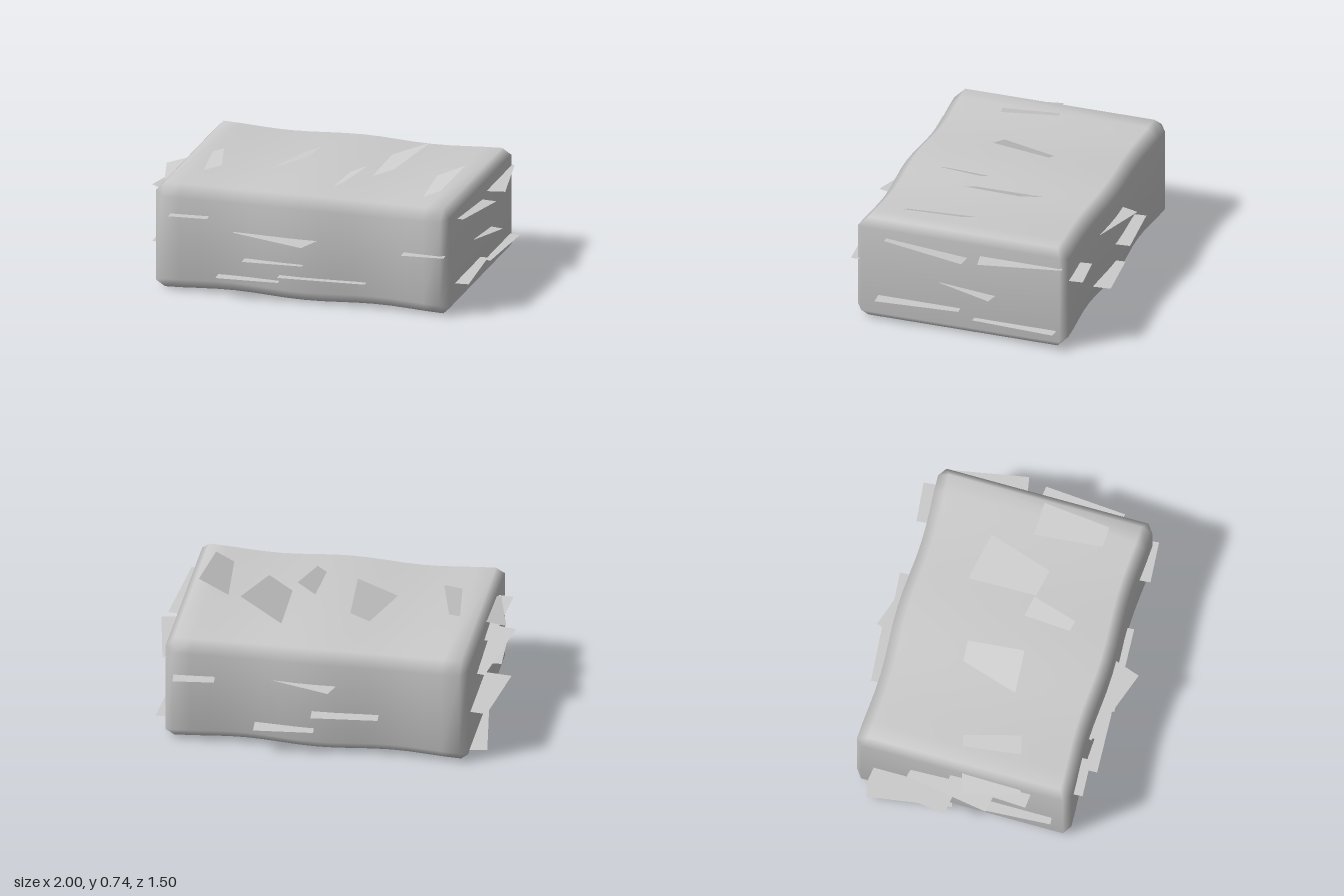
import * as THREE from 'three';
import { mergeVertices } from 'three/addons/utils/BufferGeometryUtils.js';

const material = new THREE.MeshStandardMaterial({ color: 0xcccccc, side: THREE.DoubleSide });

// Eight points around the bale at x: bottom front, up, over the top, down the back.
function ring(x, isEnd) {
  const s = 0.984 + 0.016 * Math.cos((x - 0.025) * Math.PI * 2 / 0.86); // gentle waist wave
  const hz = isEnd ? 0.595 : 0.6325 * s;
  const hy = isEnd ? 0.2675 : 0.3125 * s;
  const c = isEnd ? 0 : 0.065;
  const quarter = [[hz - c, -hy], [hz, -hy + c], [hz, hy - c], [hz - c, hy]];
  const back = quarter.map(([z, y]) => [-z, y]).reverse();
  return [...quarter, ...back].map(([z, y]) => new THREE.Vector3(x, 0.3125 + y, z - 0.0275));
}

// Softly shaded, chamfered bale body, open underneath.
function createBale() {
  const rings = [ring(-0.845, true)];
  const steps = 16;
  for (let i = 0; i <= steps; i++) rings.push(ring(-0.8 + 1.65 * i / steps, false));
  rings.push(ring(0.895, true));

  const points = [];
  const tri = (a, b, c) => {
    if (a.distanceTo(b) > 1e-5 && b.distanceTo(c) > 1e-5 && c.distanceTo(a) > 1e-5) points.push(a, b, c);
  };
  const quad = (a, b, c, d) => { tri(a, b, c); tri(a, c, d); };

  const last = rings.length - 1;
  for (let i = 0; i < last; i++) {
    const p = rings[i], q = rings[i + 1];
    for (let j = 0; j < 8; j++) {
      const k = (j + 1) % 8;
      const underside = j === 7 && i > 0 && i < last - 1;
      if (!underside) quad(p[j], q[j], q[k], p[k]);
    }
  }
  const l = rings[0], r = rings[last];
  quad(r[0], r[6], r[4], r[2]);
  quad(l[0], l[2], l[4], l[6]);

  // Shared vertices weight the normals by area, so only the chamfers blend.
  const geometry = mergeVertices(new THREE.BufferGeometry().setFromPoints(points));
  geometry.computeVertexNormals();
  return new THREE.Mesh(geometry, material);
}

// Flat straw flake: outer edge a to b, running inward by depth and falling by drop.
function createFlake([a, b, depth, drop = 0]) {
  const start = new THREE.Vector3(...a), end = new THREE.Vector3(...b);
  const inward = new THREE.Vector3(start.z - end.z, 0, end.x - start.x).setLength(depth);
  inward.y = -drop;
  const c = end.clone().add(inward), d = start.clone().add(inward);
  const geometry = new THREE.BufferGeometry().setFromPoints([start, d, c, start, c, end]);
  geometry.computeVertexNormals();
  return new THREE.Mesh(geometry, material);
}

const flakes = {
  topFlake: [
    [[-0.64, 0.64, -0.08], [-0.555, 0.65, 0.24], 0.325, 0.09],
    [[-0.095, 0.665, -0.21], [-0.08, 0.71, 0.12], 0.34, 0.14],
    [[0.53, 0.735, -0.25], [0.43, 0.685, 0.12], 0.34, 0.155],
    [[0.26, 0.675, 0.08], [0.19, 0.65, 0.34], 0.34, 0.16],
    [[0.81, 0.7, -0.02], [0.78, 0.67, 0.37], 0.34, 0.16],
  ],
  leftFlake: [
    [[0.91, 0.515, -0.64], [1.0, 0.515, -0.165], 0.33],
    [[0.98, 0.49, -0.06], [0.93, 0.53, 0.42], 0.33],
    [[0.97, 0.275, -0.22], [0.9, 0.305, 0.1], 0.36],
    [[0.955, 0.115, -0.6], [0.93, 0.115, -0.11], 0.34],
    [[0.94, 0.16, -0.03], [0.975, 0.16, 0.46], 0.34],
  ],
  rightFlake: [
    [[-1.0, 0.28, -0.085], [-0.94, 0.28, -0.56], 0.34],
    [[-0.87, 0.05, -0.08], [-0.945, 0.05, -0.56], 0.34],
    [[-0.985, 0.455, 0.15], [-0.89, 0.41, -0.34], 0.34],
    [[-0.93, 0.54, 0.37], [-0.89, 0.5, -0.1], 0.33],
    [[-0.885, 0.25, 0.505], [-0.91, 0.25, 0.1], 0.34],
  ],
  frontFlake: [
    [[-0.52, 0.46, 0.64], [-0.745, 0.46, 0.655], 0.45],
    [[0.07, 0.38, 0.75], [-0.38, 0.38, 0.6], 0.33],
    [[0.04, 0.23, 0.635], [-0.31, 0.23, 0.655], 0.35],
    [[-0.1, 0.12, 0.64], [-0.465, 0.12, 0.66], 0.35],
    [[0.41, 0.155, 0.625], [-0.1, 0.155, 0.655], 0.33],
    [[0.88, 0.36, 0.635], [0.635, 0.36, 0.655], 0.45],
  ],
  backFlake: [
    [[-0.34, 0.26, -0.71], [0.04, 0.26, -0.745], 0.34],
    [[0.03, 0.15, -0.715], [0.37, 0.15, -0.745], 0.34],
    [[-0.06, 0.43, -0.755], [0.4, 0.43, -0.61], 0.33],
    [[0.6, 0.42, -0.715], [0.835, 0.42, -0.74], 0.45],
  ],
};

export function createModel() {
  const model = new THREE.Group();
  model.name = 'strawBale';

  const bale = createBale();
  bale.name = 'baleBody';
  model.add(bale);

  for (const [name, list] of Object.entries(flakes)) {
    list.forEach((spec, i) => {
      const flake = createFlake(spec);
      flake.name = name + (i + 1);
      model.add(flake);
    });
  }
  return model;
}
